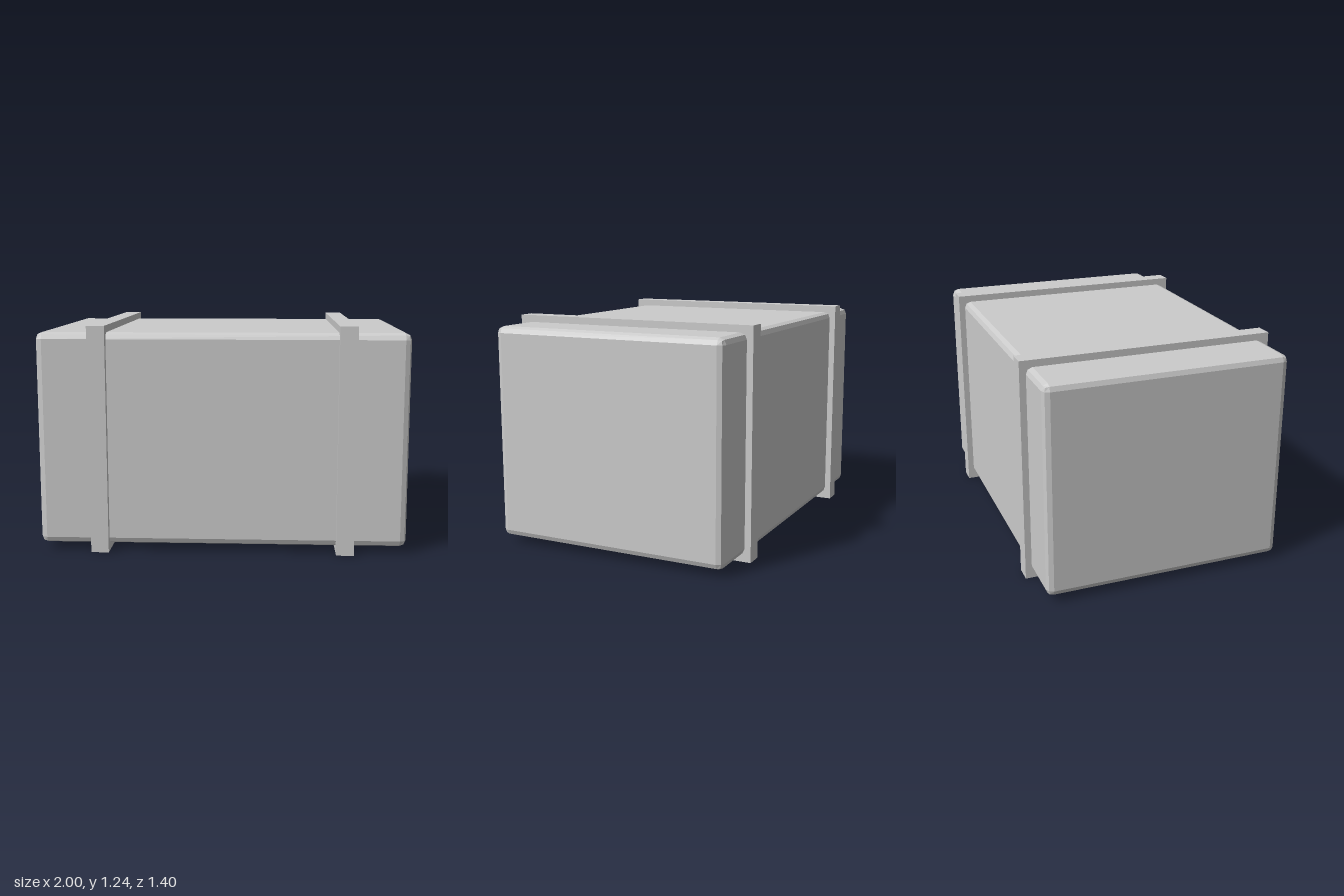
import * as THREE from 'three';
import { RoundedBoxGeometry } from 'three/addons/geometries/RoundedBoxGeometry.js';

export function createModel() {
  const group = new THREE.Group();
  const material = new THREE.MeshStandardMaterial({ color: 0xcccccc, flatShading: true });

  // Main block with two-facet bevelled edges
  const body = new THREE.Mesh(new RoundedBoxGeometry(2, 1.16, 1.33, 1, 0.035), material);
  body.name = 'crateBody';
  body.position.y = 0.618;
  group.add(body);

  // Square bands wrapped around the block, one near each end
  const bandGeometry = new THREE.BoxGeometry(0.096, 1.236, 1.4);
  for (const side of [-1, 1]) {
    const band = new THREE.Mesh(bandGeometry, material);
    band.name = side > 0 ? 'leftBand' : 'rightBand';
    band.position.set(side * 0.667, 0.618, 0);
    group.add(band);
  }
  return group;
}
